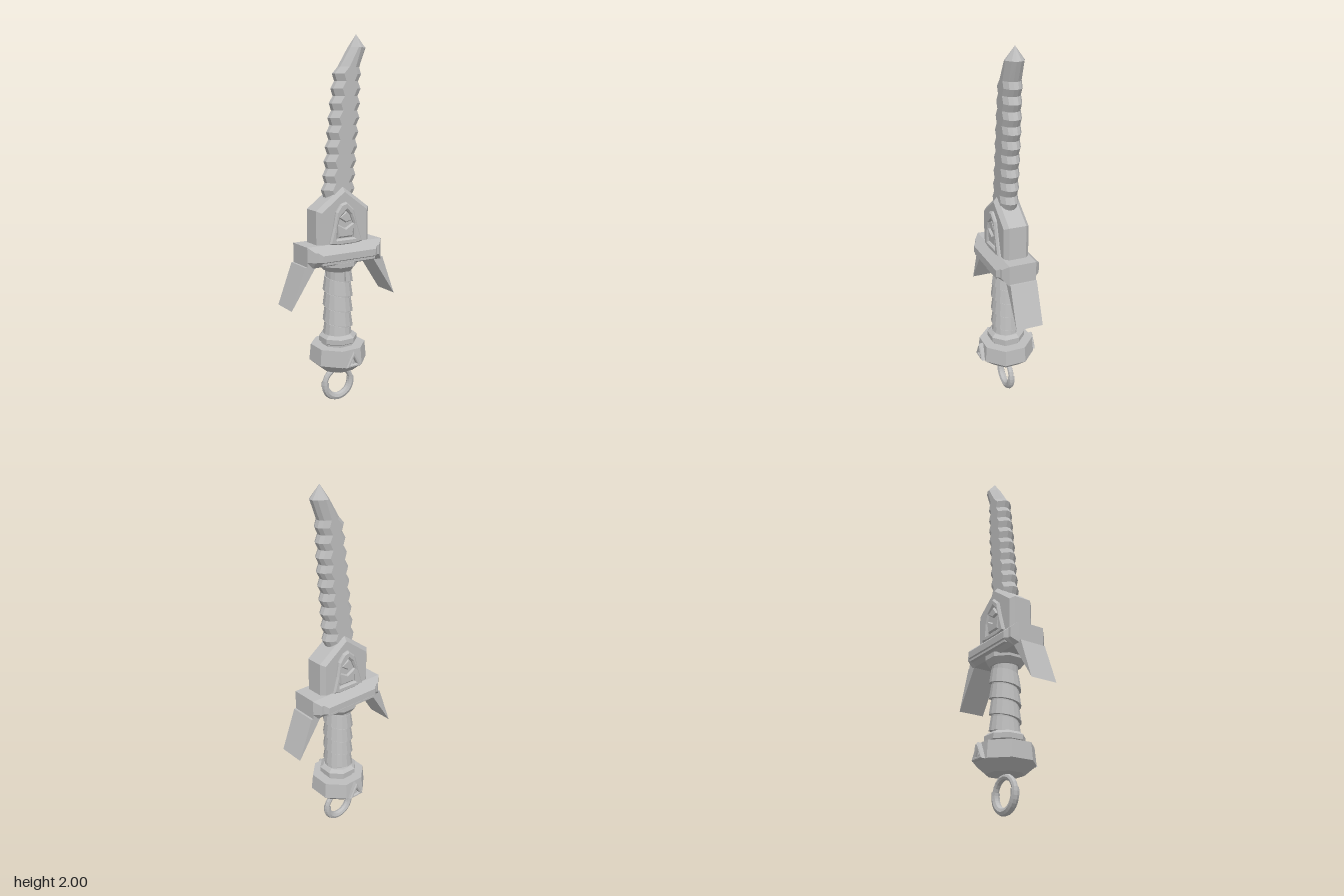
import * as THREE from 'three';

const metal = new THREE.MeshStandardMaterial({ color: 0xbdbdbd, flatShading: true });
metal.name = 'grey metal';

// Skin a row of equal-length closed loops, with capped ends facing outward
function loft(sections) {
  const tris = [];
  const n = sections[0].length;
  for (let i = 0; i < sections.length - 1; i++) {
    const a = sections[i], b = sections[i + 1];
    for (let j = 0; j < n; j++) {
      const k = (j + 1) % n;
      tris.push([a[j], a[k], b[k]], [a[j], b[k], b[j]]);
    }
  }
  const first = sections[0], last = sections[sections.length - 1];
  for (let j = 1; j < n - 1; j++) {
    tris.push([first[0], first[j + 1], first[j]], [last[0], last[j], last[j + 1]]);
  }
  // signed volume tells whether the winding must be turned round
  let volume = 0;
  for (const [a, b, c] of tris) {
    volume += a[0] * (b[1] * c[2] - b[2] * c[1]) + a[1] * (b[2] * c[0] - b[0] * c[2]) + a[2] * (b[0] * c[1] - b[1] * c[0]);
  }
  const positions = tris.flatMap(([a, b, c]) => (volume < 0 ? [a, c, b] : [a, b, c]).flat());
  const geo = new THREE.BufferGeometry();
  geo.setAttribute('position', new THREE.Float32BufferAttribute(positions, 3));
  geo.computeVertexNormals();
  return geo;
}

function shapeOf(points, hole) {
  const shape = new THREE.Shape(points.map(([x, y]) => new THREE.Vector2(x, y)));
  if (hole) shape.holes.push(new THREE.Path(hole.map(([x, y]) => new THREE.Vector2(x, y))));
  return shape;
}

// Plate with chamfered edges spanning z0 to z1, outline kept at full size
function plate(points, z0, z1, bevel, hole) {
  const geo = new THREE.ExtrudeGeometry(shapeOf(points, hole), {
    depth: z1 - z0 - 2 * bevel, bevelEnabled: bevel > 0, bevelThickness: bevel,
    bevelSize: bevel, bevelOffset: -bevel, bevelSegments: 1,
  });
  return geo.translate(0, 0, z0 + bevel);
}

// Eight-sided turned part with flats facing front and sides
function octagon(profile) {
  const k = 1 / Math.cos(Math.PI / 8);
  const pts = profile.map(([r, y]) => new THREE.Vector2(r * k, y));
  return new THREE.LatheGeometry(pts, 8, Math.PI / 8);
}

function pick(table, y, col) {
  let i = 0;
  while (i < table.length - 2 && y > table[i + 1][0]) i++;
  const a = table[i], b = table[i + 1];
  return THREE.MathUtils.lerp(a[col], b[col], (y - a[0]) / (b[0] - a[0]));
}

export function createModel() {
  const model = new THREE.Group();
  const add = (name, geo, parent = model) => {
    const mesh = new THREE.Mesh(geo, metal);
    mesh.name = name;
    parent.add(mesh);
    return mesh;
  };

  // Wavy blade: y, left edge, right edge
  const edges = [[1.05, -0.1, 0.08], [1.18, -0.09, 0.088], [1.4, -0.066, 0.105], [1.6, -0.044, 0.122], [1.8, -0.018, 0.128]];
  const bladeRow = (y, L, l, r, R, s = 1) => {
    const m = r + (R - r) * 0.7;
    const half = [[L, 0.014], [l, 0.05], [r, 0.05], [m, 0.032], [R, 0.012]];
    return [...half.map(([x, z]) => [x, y, z * s]), ...half.reverse().map(([x, z]) => [x, y, -z * s])];
  };
  const rows = [];
  for (let i = 0; i <= 40; i++) {
    const y = 1.05 + i * 0.01875;
    const wave = 0.009 * Math.cos((i / 4) * Math.PI * 2);
    const L = pick(edges, y, 1) - wave, R = pick(edges, y, 2) + wave;
    rows.push(bladeRow(y, L, L + 0.036, R - 0.045, R));
  }
  rows.push(bladeRow(1.835, 0.006, 0.042, 0.08, 0.125));
  rows.push(bladeRow(1.935, 0.069, 0.098, 0.114, 0.164));
  rows.push(bladeRow(2.0, 0.111, 0.112, 0.113, 0.114, 0.02));
  add('blade', loft(rows));

  // Pointed block holding the blade
  const house = [[-0.163, 0.89], [0.163, 0.89], [0.163, 1.1], [0, 1.22], [-0.163, 1.1]];
  add('bladeSocket', plate(house, -0.07, 0.07, 0.022));

  // Hooded emblem on both faces of the block
  const hood = [[-0.1, 0.92], [-0.075, 1.01], [-0.06, 1.09], [-0.03, 1.13], [0.005, 1.14], [0.05, 1.1], [0.075, 1.01], [0.105, 0.92], [0.05, 0.91], [-0.05, 0.91]];
  const opening = [[-0.055, 0.945], [0.055, 0.945], [0.05, 1.02], [0.03, 1.07], [0.005, 1.095], [-0.035, 1.06], [-0.05, 1.01]];
  const mask = [[-0.045, 0.95], [0.045, 0.95], [0.058, 1.03], [0, 1.0], [-0.058, 1.03]];
  for (const side of [0, 1]) {
    const emblem = new THREE.Group();
    emblem.name = side ? 'backEmblem' : 'frontEmblem';
    emblem.rotation.y = side * Math.PI;
    add('hood', plate(hood, 0.06, 0.087, 0.009, opening), emblem);
    add('mask', plate(mask, 0.06, 0.082, 0.008), emblem);
    add('brow', plate([[-0.045, 1.06], [0, 1.03], [0.04, 1.04], [0.005, 1.09]], 0.06, 0.083, 0.006), emblem);
    model.add(emblem);
  }

  // Crossguard: ridged bar with stepped, chamfered ends
  const guardRow = (x, z) => {
    const t = (z - 0.075) * 0.9;
    const half = [[0.92, 0.075], [0.92 - t, z], [0.84, z], [0.805, 0.075]];
    return [...half.map(([y, d]) => [x, y, d]), ...half.reverse().map(([y, d]) => [x, y, -d])];
  };
  const ends = [[0.233, 0.0751], [0.2, 0.106], [0.185, 0.107], [0.165, 0.124]];
  add('crossguard', loft([
    ...ends.map(([x, z]) => guardRow(-x, z)),
    ...ends.slice().reverse().map(([x, z]) => guardRow(x, z)),
  ]));
  for (const z of [-1, 1]) {
    const rib = add('guardRib', new THREE.BoxGeometry(0.33, 0.012, 0.02));
    rib.position.set(0, 0.828, z * 0.108);
  }

  // Downswept prongs
  for (const s of [-1, 1]) {
    const prong = [[0.18, 0.815], [0.245, 0.815], [0.328, 0.593]].map(([x, y]) => [x * s, y]);
    add(s > 0 ? 'leftProng' : 'rightProng', plate(prong, -0.075, 0.075, 0));
  }

  // Grip core with a spiral wrap, flared collars at each end
  const core = add('gripCore', new THREE.CylinderGeometry(0.069, 0.069, 0.46, 16));
  core.position.y = 0.58;
  const pitch = 0.085, steps = 16, turns = 4.4, wrap = [];
  for (let i = 0; i <= steps * turns; i++) {
    const a = (i / steps) * Math.PI * 2;
    const y = 0.785 - (i / steps) * pitch;
    wrap.push([[0.05, y], [0.073, y], [0.084, y - pitch * 0.9], [0.05, y - pitch * 0.9]]
      .map(([r, h]) => [r * Math.sin(a), h, r * Math.cos(a)]));
  }
  add('gripWrap', loft(wrap));
  add('upperCollar', octagon([[0, 0.76], [0.075, 0.76], [0.098, 0.79], [0.098, 0.815], [0, 0.815]]));
  add('lowerCollar', octagon([[0, 0.33], [0.085, 0.33], [0.085, 0.35], [0.098, 0.358], [0.098, 0.385], [0.08, 0.402], [0, 0.402]]));

  // Faceted pommel with a small triangular badge front and back
  add('pommel', octagon([[0, 0.198], [0.09, 0.198], [0.148, 0.25], [0.14, 0.34], [0, 0.34]]));
  for (const side of [0, 1]) {
    const badge = new THREE.Group();
    badge.name = side ? 'backBadge' : 'frontBadge';
    badge.rotation.y = side * Math.PI;
    add('badgeFrame', plate([[-0.048, 0.25], [0.048, 0.25], [0.025, 0.295], [0, 0.338], [-0.025, 0.295]], 0.13, 0.168, 0.006,
      [[-0.02, 0.266], [0.02, 0.266], [0, 0.305]]), badge);
    add('badgeStud', plate([[-0.012, 0.268], [0.012, 0.268], [0, 0.295]], 0.13, 0.16, 0.003), badge);
    model.add(badge);
  }

  // Hanging ring with a thicker lower arc
  const ring = add('ring', new THREE.TorusGeometry(0.084, 0.016, 8, 24));
  ring.position.y = 0.104;
  const arc = add('ringLowerArc', new THREE.TorusGeometry(0.083, 0.021, 8, 18, Math.PI * 1.15));
  arc.position.y = 0.104;
  arc.rotation.z = Math.PI * 0.93;
  return model;
}
